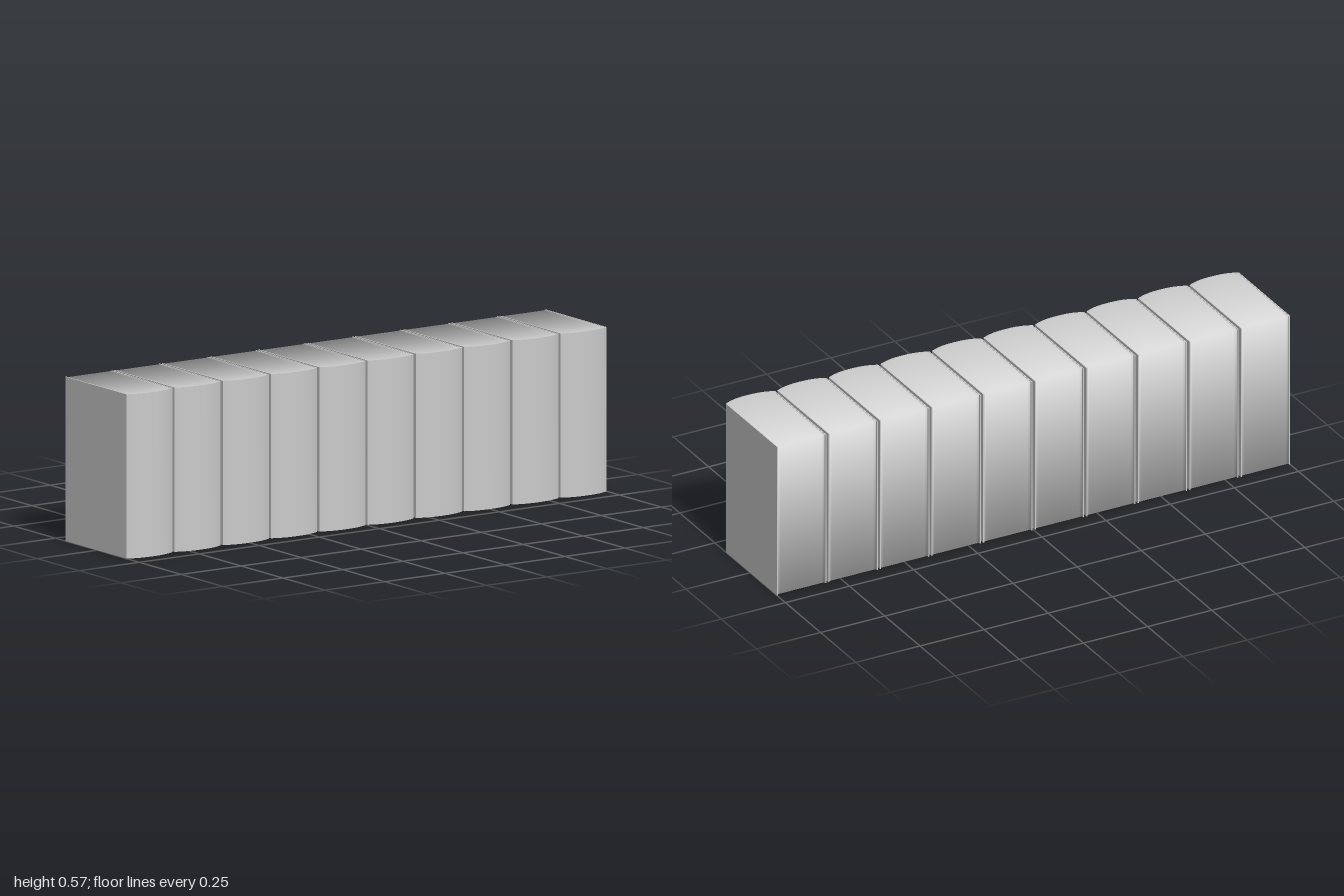
import * as THREE from 'three';
import { toCreasedNormals } from 'three/addons/utils/BufferGeometryUtils.js';

const COUNT = 10, PITCH = 0.2009, HALF = 0.096, HEIGHT = 0.573;
const BACK = -0.191, BOARD = 0.004, STEPS = 16;

// Depth of the rounded spine at a given x across one book
const spineZ = (x) => 0.173 + 0.02 * (1 - Math.pow(Math.abs(x) / HALF, 2.5));

// Thin wrap-around cover: two boards joined by the rounded spine
function coverGeometry() {
  const outer = [], inner = [];
  for (let i = 0; i <= STEPS; i++) {
    const u = -Math.cos((Math.PI * i) / STEPS);
    const x = u * HALF;
    outer.push(new THREE.Vector2(x, spineZ(x)));
    inner.unshift(new THREE.Vector2(u * (HALF - BOARD), spineZ(x) - BOARD));
  }
  const shape = new THREE.Shape([
    new THREE.Vector2(-HALF, BACK), ...outer, new THREE.Vector2(HALF, BACK),
    new THREE.Vector2(HALF - BOARD, BACK), ...inner, new THREE.Vector2(-HALF + BOARD, BACK),
  ]);
  const geo = new THREE.ExtrudeGeometry(shape, { depth: HEIGHT, bevelEnabled: false });
  geo.rotateX(Math.PI / 2).translate(0, HEIGHT, 0);
  return toCreasedNormals(geo, 0.6);
}

// Page block: one smooth strip folded over the top, back and bottom
function pagesGeometry() {
  const geo = new THREE.PlaneGeometry(2, 3, STEPS, 3);
  const pos = geo.attributes.position;
  for (let i = 0; i < pos.count; i++) {
    const row = Math.floor(i / (STEPS + 1));
    const x = -pos.getX(i) * (HALF - BOARD);
    const y = row < 2 ? HEIGHT - 0.001 : 0.001;
    const z = row === 0 || row === 3 ? spineZ(x) - BOARD : BACK + 0.006;
    pos.setXYZ(i, x, y, z);
  }
  geo.computeVertexNormals();
  return geo;
}

export function createModel() {
  const model = new THREE.Group();
  model.name = 'bookRow';
  const material = new THREE.MeshStandardMaterial({ color: 0xcccccc, side: THREE.DoubleSide });
  const coverGeo = coverGeometry(), pagesGeo = pagesGeometry();

  // Ten identical volumes standing side by side
  for (let i = 0; i < COUNT; i++) {
    const book = new THREE.Group();
    book.name = 'book' + (i + 1);
    const cover = new THREE.Mesh(coverGeo, material);
    cover.name = 'cover';
    const pages = new THREE.Mesh(pagesGeo, material);
    pages.name = 'pages';
    book.add(cover, pages);
    book.position.x = (i - (COUNT - 1) / 2) * PITCH;
    model.add(book);
  }
  return model;
}
